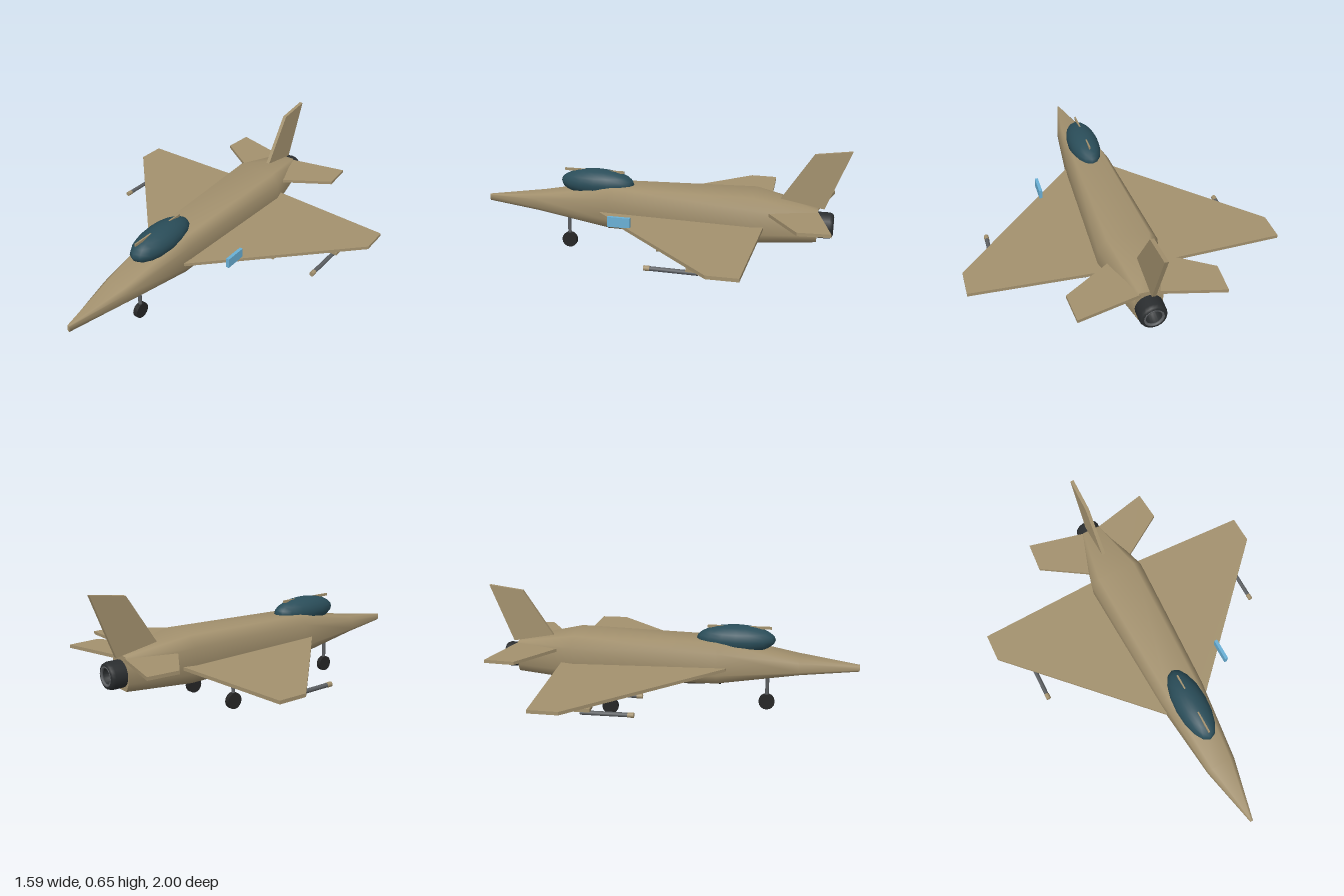
import * as THREE from 'three';

const mat = (color) => new THREE.MeshStandardMaterial({ color });

export function createModel() {
  const model = new THREE.Group();
  const tan = mat(0xa3916e), glass = mat(0x2a4d59), black = mat(0x262626);
  const steel = mat(0x5c5f62), blue = mat(0x6ab0d6), belly = mat(0x4a4234);

  const add = (name, geo, material, x = 0, y = 0, z = 0) => {
    const mesh = new THREE.Mesh(geo, material);
    mesh.name = name;
    mesh.position.set(x, y, z);
    model.add(mesh);
    return mesh;
  };
  const rod = (r, len, seg = 12) => new THREE.CylinderGeometry(r, r, len, seg).rotateX(Math.PI / 2);
  const ellipsoid = (a, b, c) => new THREE.SphereGeometry(1, 16, 12).scale(a, b, c);
  const plate = (points, depth) => new THREE.ExtrudeGeometry(
    new THREE.Shape(points.map(([a, b]) => new THREE.Vector2(a, b))), { depth, bevelEnabled: false });
  // horizontal surface from (x, z) outline points
  const flat = (points, side, depth) =>
    plate(points.map(([x, z]) => [x * side, -z]), depth).rotateX(-Math.PI / 2);

  // Fuselage: chamfered sections as [z, half width, bottom, top]
  const sections = [
    [1.0, 0.006, 0.24, 0.276], [0.68, 0.077, 0.222, 0.313], [0.25, 0.12, 0.165, 0.39],
    [-0.52, 0.152, 0.163, 0.405], [-0.85, 0.068, 0.175, 0.345],
  ];
  const outline = [[0.7, 0], [1, 0.24], [1, 0.78], [0.7, 1], [-0.7, 1], [-1, 0.78], [-1, 0.24], [-0.7, 0]];
  const n = outline.length, pos = [], index = [];
  for (const [z, w, lo, hi] of sections)
    for (const [u, v] of outline) pos.push(u * w, lo + v * (hi - lo), z);
  for (let s = 0; s < sections.length - 1; s++)
    for (let i = 0; i < n; i++) {
      const a = s * n + i, b = s * n + (i + 1) % n;
      index.push(a, b, a + n, b, b + n, a + n);
    }
  // reverse winding so that the faces look outward
  for (let i = 0; i < index.length; i += 3) [index[i + 1], index[i + 2]] = [index[i + 2], index[i + 1]];
  const hull = new THREE.BufferGeometry();
  hull.setAttribute('position', new THREE.Float32BufferAttribute(pos, 3));
  hull.setIndex(index);
  hull.computeVertexNormals();
  add('fuselage', hull, tan);
  hull.index.array.length && (tan.side = THREE.DoubleSide);

  // End caps
  for (const [z, w, lo, hi] of [sections[0], sections[4]])
    add(z > 0 ? 'noseCap' : 'tailCap', new THREE.ShapeGeometry(new THREE.Shape(
      outline.map(([u, v]) => new THREE.Vector2(u * w, lo + v * (hi - lo))))), tan, 0, 0, z);

  // Wings, tailplanes and stores on both sides
  for (const side of [1, -1]) {
    const s = side > 0 ? 'left' : 'right';
    add(s + 'Wing', flat([[0.04, 0.3], [0.12, 0.3], [0.795, -0.41], [0.792, -0.56], [0.04, -0.588]],
      side, 0.017), tan, 0, 0.247, 0);
    add(s + 'Tailplane', flat([[0.04, -0.55], [0.13, -0.61], [0.366, -0.765], [0.354, -0.926], [0.04, -0.85]],
      side, 0.017), tan, 0, 0.32, 0);
    for (const x of [0.4, 0.64]) {
      add(s + 'Pylon', new THREE.BoxGeometry(0.06, 0.017, 0.075), tan, side * x, 0.223, -0.335);
      add(s + 'Missile', rod(0.011, 0.23), steel, side * x, 0.2, -0.235);
      add(s + 'MissileTip', rod(0.0125, 0.03), tan, side * x, 0.2, -0.108);
    }
  }

  // Fin, outlined in (-z, y)
  add('fin', plate([[0.65, 0.37], [0.815, 0.625], [1.0, 0.65], [0.88, 0.34]], 0.019)
    .rotateY(Math.PI / 2), tan, -0.02, 0, 0);

  // Canopy with its top rail
  add('canopy', ellipsoid(0.086, 0.076, 0.21), glass, 0, 0.395, 0.345);
  add('canopyRail', new THREE.BoxGeometry(0.008, 0.014, 0.34), tan, 0, 0.459, 0.362);

  // Belly fairing and the lip ahead of it
  add('bellyFairing', ellipsoid(0.068, 0.038, 0.14), belly, 0, 0.171, 0.115);
  add('intakeLip', rod(1, 0.008, 20).scale(0.066, 0.032, 1), black, 0, 0.171, 0.266);

  // Hollow exhaust nozzle, turned about z
  const nozzle = [[0, 0.01], [0.036, 0.01], [0.042, 0.08], [0.05, 0.085], [0.062, 0.08], [0.068, 0.065], [0.068, 0]];
  const wall = new THREE.LatheGeometry(nozzle.map(([r, h]) => new THREE.Vector2(r, h)), 20).rotateX(-Math.PI / 2);
  const dark = mat(0x2a2d2f);
  dark.side = THREE.DoubleSide;
  add('nozzle', wall, dark, 0, 0.255, -0.846);
  add('nozzleRing', new THREE.TorusGeometry(0.046, 0.007, 8, 20), steel, 0, 0.255, -0.925);

  // Landing gear
  for (const [name, x, z, top] of [['nose', 0, 0.52, 0.24], ['leftMain', 0.172, -0.31, 0.222], ['rightMain', -0.172, -0.31, 0.222]]) {
    add(name + 'Strut', new THREE.CylinderGeometry(0.01, 0.01, top - 0.045, 10), steel, x, (top + 0.045) / 2, z);
    add(name + 'Wheel', new THREE.CylinderGeometry(0.043, 0.043, 0.026, 16).rotateZ(Math.PI / 2), black, x, 0.043, z);
  }

  // Small box on the left wing
  add('wingBox', new THREE.BoxGeometry(0.017, 0.053, 0.12), blue, 0.309, 0.288, 0.13);

  return model;
}
